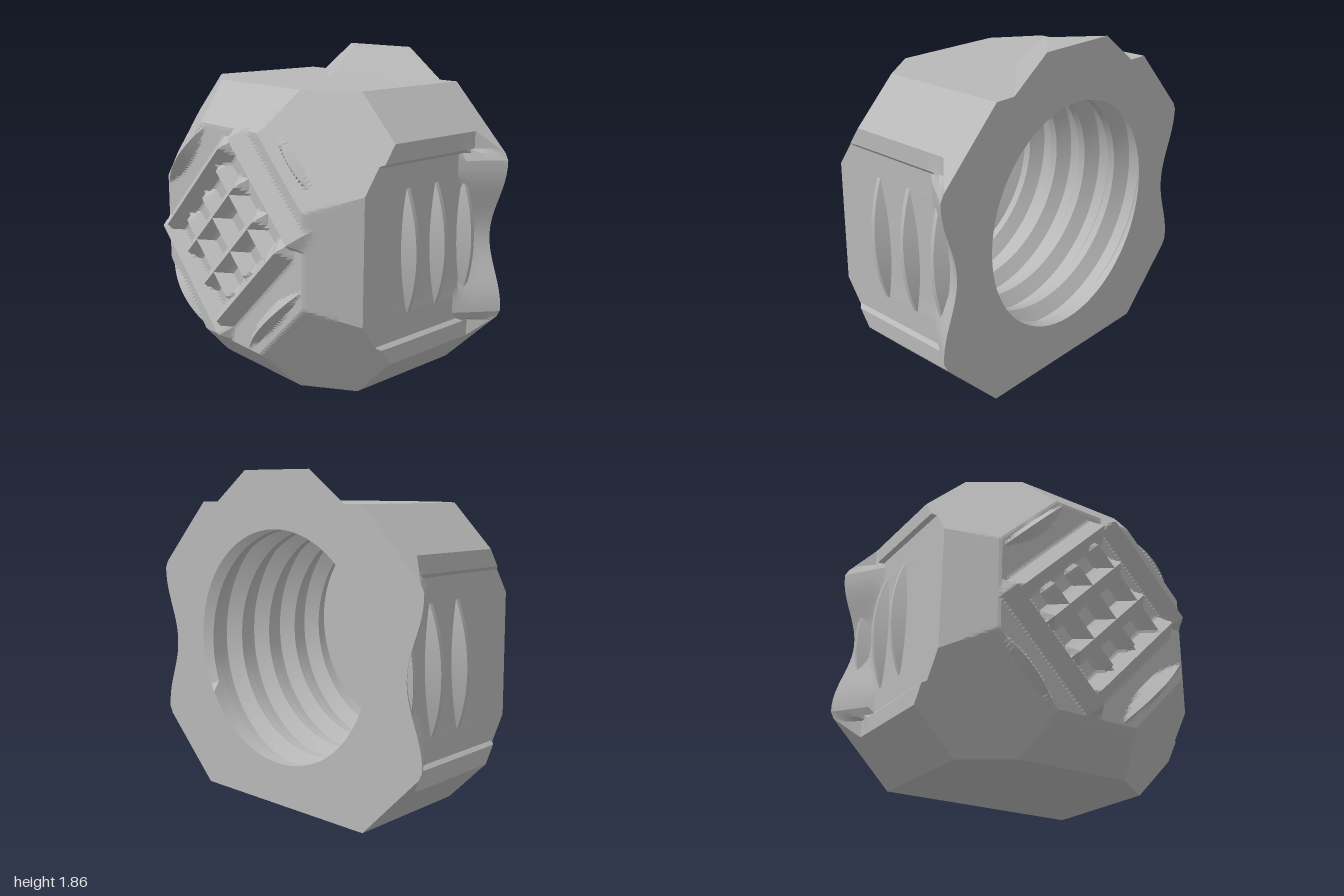
import * as THREE from 'three';
import { toCreasedNormals } from 'three/addons/utils/BufferGeometryUtils.js';
import { ConvexGeometry } from 'three/addons/geometries/ConvexGeometry.js';

const CY = 0.84, BACK = -0.625, PITCH = 0.225, R2 = Math.SQRT2;

// Surface from rows of points; flip turns it inside out.
function skin(rows, { closed = false, flip = false, crease = 0.4 } = {}) {
  const out = [];
  const tri = (a, b, c) => out.push(...a, ...(flip ? c : b), ...(flip ? b : c));
  for (let j = 0; j + 1 < rows.length; j++) {
    const n = rows[j].length;
    for (let i = 0; i < (closed ? n : n - 1); i++) {
      const k = (i + 1) % n;
      const [a, b, c, d] = [rows[j][i], rows[j][k], rows[j + 1][k], rows[j + 1][i]];
      tri(a, b, c);
      tri(a, c, d);
    }
  }
  return creased(out, crease);
}

function creased(points, angle) {
  const g = new THREE.BufferGeometry();
  g.setAttribute('position', new THREE.Float32BufferAttribute(points, 3));
  return toCreasedNormals(g, angle);
}

// Octagonal outline at depth z, with side rails, recessed panels and a wavy flare at the back.
function outline(z) {
  const a = Math.min(0.84, 1.16 - z), d = Math.min(1.03, 1.16 - z) * R2;
  const railX = Math.min(z < 0.21 ? 0.86 : 0.84, a + 0.02 * (z < 0.21));
  const rx = Math.max(railX, 0.98 - (z - BACK));
  const ry = d - rx, top = Math.min(0.48, ry);
  const side = [[d - a, a], [rx, ry], [rx, Math.min(0.5, ry)]];
  for (let i = 0; i <= 24; i++) {
    const y = top * (1 - i / 12);
    const wave = 0.9 + 0.05 * (1 - Math.cos(Math.PI * Math.min(1, Math.abs(y) / 0.42)));
    side.push([Math.max(a, Math.min(wave, d - Math.abs(y)) - 0.7 * (z - BACK)), y]);
  }
  side.push([rx, -Math.min(0.5, ry)], [rx, -ry], [d - a, -a]);
  side.reverse();
  return [...side, ...side.map(([x, y]) => [-x, y]).reverse()];
}

// Front ridges along each diagonal: [position, half length, tip height].
const uRidges = [[-0.6225, 0.33, 0.58], [-0.42, 0.45, 0.62], [-0.195, 0.33, 0.61], [0.03, 0.33, 0.61],
  [0.255, 0.36, 0.61], [0.48, 0.41, 0.62], [0.6825, 0.28, 0.515]];
const vRidges = [[-0.545, 0.38, 0.615], [-0.32, 0.45, 0.62], [-0.095, 0.4, 0.61], [0.13, 0.4, 0.61],
  [0.355, 0.45, 0.62], [0.58, 0.35, 0.605]];
const apothem = (u, v) => Math.max(Math.abs(u), Math.abs(v), (Math.abs(u) + Math.abs(v)) / R2);

function frontHeight(u, v) {
  let z = Math.min(1.16 - apothem(u, v), 0.54);
  const ridge = (list, p, q) => {
    for (const [c, len, tip] of list) {
      if (Math.abs(q) >= len) continue;
      const outer = Math.abs(c) > 0.5;
      const slope = outer && (p - c) * c > 0 ? 2.6 : 1.1;
      const drop = outer ? 0.11 * (q / len) ** 2 : Math.max(0, 0.1 - 1.5 * (len - Math.abs(q)));
      z = Math.max(z, tip - slope * Math.abs(p - c) - drop);
    }
  };
  ridge(uRidges, u, v);
  ridge(vRidges, v, u);
  return z;
}

// Height field of crossing ridges, each cell a fan of four triangles.
function frontGeometry() {
  const step = PITCH / 10, out = [];
  const point = (i, j) => {
    const u = 0.03 + i * step, v = 0.13 + j * step;
    return [u, v, frontHeight(u, v)];
  };
  for (let j = -42; j < 32; j++) {
    for (let i = -38; i < 36; i++) {
      const mid = point(i + 0.5, j + 0.5);
      if (apothem(mid[0], mid[1]) > 0.79) continue;
      const ring = [point(i, j), point(i + 1, j), point(i + 1, j + 1), point(i, j + 1)];
      ring.forEach((p, k) => out.push(...p, ...ring[(k + 1) % 4], ...mid));
    }
  }
  return creased(out, 0.3).rotateZ(Math.PI / 4);
}

// Internal helical thread, trimmed at the mouth and at the inner end.
const BORE = 0.65, BORE_Y = CY + 0.05, BORE_END = 0.4;
function boreGeometry() {
  const rows = [];
  const profile = [[0, 0], [0.2, 0], [0.45, 0.08], [0.75, 0.08]];
  for (let k = -5; k < 4; k++) {
    for (const [t, depth] of profile) {
      const row = [];
      for (let i = 0; i <= 72; i++) {
        const a = (i / 72) * Math.PI * 2;
        const z = -0.1 + PITCH * (k + t + i / 72);
        const inside = z > BACK && z < BORE_END;
        const r = BORE + (inside ? depth : 0);
        row.push([r * Math.cos(a), r * Math.sin(a), THREE.MathUtils.clamp(z, BACK, BORE_END)]);
      }
      rows.push(row);
    }
  }
  return skin(rows, { flip: true });
}

// Lens-shaped piece of helical tooth that breaks through a side panel.
function sideRidge(angle, z0) {
  const rows = [], section = [[0.8, -0.08], [0.91, -0.012], [0.91, 0.012], [0.8, 0.08]];
  for (let i = 0; i <= 20; i++) {
    const t = -0.42 + 0.042 * i, a = angle + t;
    rows.push(section.map(([r, dz]) => [r * Math.cos(a), r * Math.sin(a),
      Math.max(BACK + 0.002, z0 + dz + PITCH * t / (2 * Math.PI))]));
  }
  return skin(rows, { flip: true });
}

export function createModel() {
  const group = new THREE.Group();
  const grey = new THREE.MeshStandardMaterial({ color: 0xb8b8b8, side: THREE.DoubleSide });
  grey.name = 'grey';
  const add = (name, geometry, y = CY, z = 0) => {
    const mesh = new THREE.Mesh(geometry, grey);
    mesh.name = name;
    mesh.position.set(0, y, z);
    group.add(mesh);
  };

  // Octagonal shell
  const depths = [BACK, -0.6, -0.57, -0.54, -0.505, -0.47, -0.43, -0.395, 0.13, 0.2, 0.22, 0.32, 0.41];
  add('shell', skin(depths.map(z => outline(z).map(([x, y]) => [x, y, z])), { closed: true }));
  add('frontTread', frontGeometry());

  // Back face around the round opening
  const face = new THREE.Shape(outline(BACK).map(([x, y]) => new THREE.Vector2(x, y)));
  const hole = new THREE.Path();
  hole.absarc(0, BORE_Y - CY, BORE, 0, Math.PI * 2, true);
  face.holes.push(hole);
  add('backFace', new THREE.ShapeGeometry(face, 36).rotateY(Math.PI), CY, BACK);

  // Threaded bore and its end wall
  add('threadedBore', boreGeometry(), BORE_Y);
  add('boreEnd', new THREE.CircleGeometry(BORE + 0.02, 72).rotateY(Math.PI), BORE_Y, BORE_END);

  // Ridges on both sides, half a turn apart
  for (let k = 0; k < 3; k++) {
    add('leftSideRidge', sideRidge(0, -0.01 - k * PITCH));
    add('rightSideRidge', sideRidge(Math.PI, -0.125 - k * PITCH));
  }

  // Wedge-shaped pointer on top
  const layers = [[1.66, 0.52, -0.18], [1.84, 0.25, -0.41], [1.855, 0.25, -0.41]];
  add('topPointer', new ConvexGeometry(layers.flatMap(([y, w, tip]) => [
    new THREE.Vector3(-w, y, BACK), new THREE.Vector3(w, y, BACK), new THREE.Vector3(0, y, tip)])), 0);

  return group;
}
